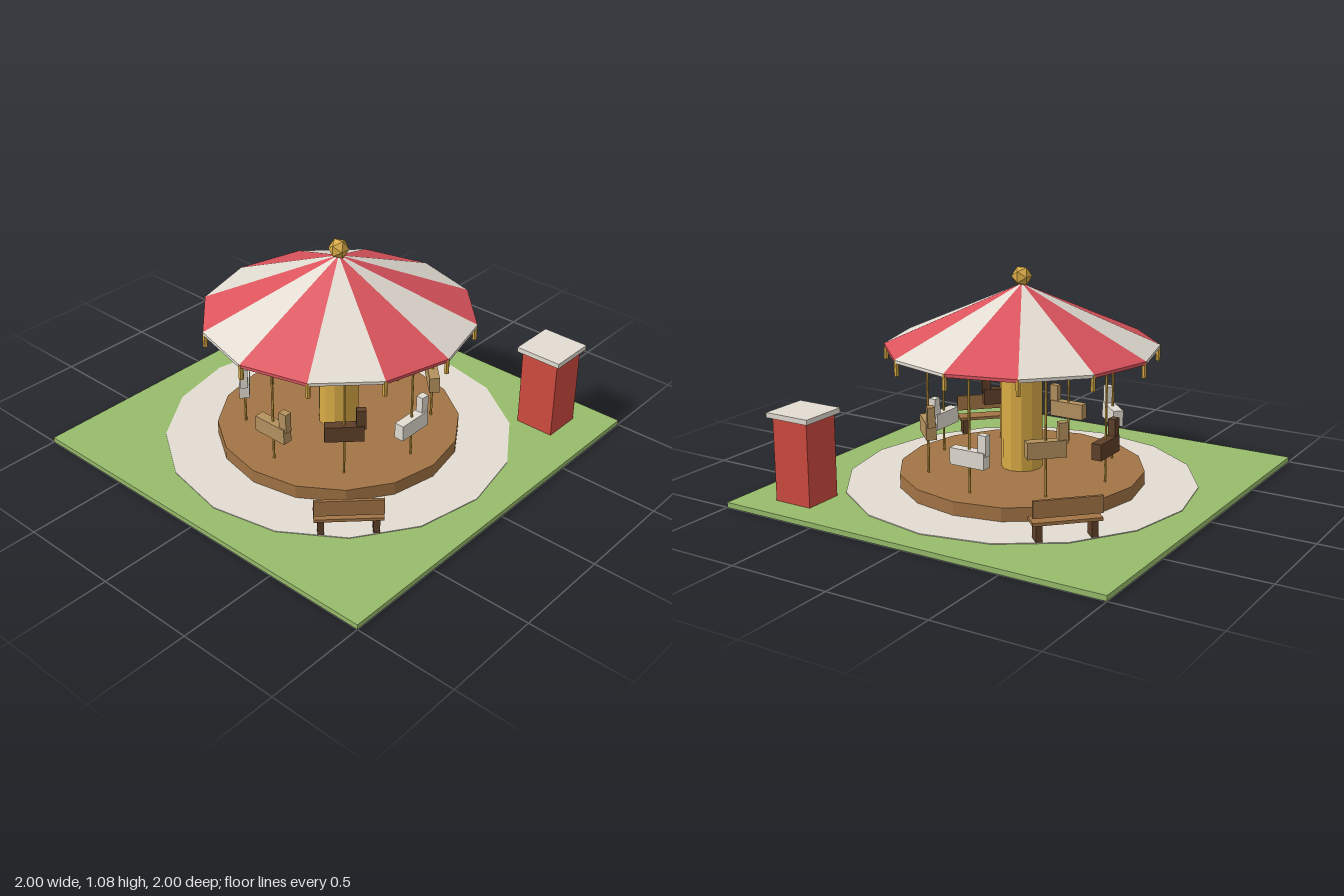
import * as THREE from 'three';

const paint = (name, color, side = THREE.FrontSide) => {
  const m = new THREE.MeshStandardMaterial({ color, side, flatShading: true });
  m.name = name;
  return m;
};

export function createModel() {
  const model = new THREE.Group();
  model.name = 'carousel';

  const grass = paint('grass green', 0x98bc6b);
  const cream = paint('cream', 0xe2dcd2, THREE.DoubleSide);
  const red = paint('canopy red', 0xdc545d, THREE.DoubleSide);
  const wood = paint('wood brown', 0xa27445);
  const darkWood = paint('dark wood', 0x5f4029);
  const tan = paint('tan', 0xb5925f);
  const gold = paint('gold', 0xdaac46);
  const boothRed = paint('booth red', 0xd04b3f);

  const add = (parent, name, geometry, material, x = 0, y = 0, z = 0) => {
    const mesh = new THREE.Mesh(geometry, material);
    mesh.name = name;
    mesh.position.set(x, y, z);
    parent.add(mesh);
    return mesh;
  };
  const box = (parent, name, [w, h, d], material, x, y, z) =>
    add(parent, name, new THREE.BoxGeometry(w, h, d), material, x, y, z);
  // upright cylinder standing between heights y0 and y1
  const post = (parent, name, r, y0, y1, sides, material, x = 0, z = 0) =>
    add(parent, name, new THREE.CylinderGeometry(r, r, y1 - y0, sides), material, x, (y0 + y1) / 2, z);

  // ground, paved ring, turning platform and central column
  box(model, 'lawn', [2, 0.025, 2], grass, 0, 0.0125, 0);
  post(model, 'path', 0.86, 0.015, 0.029, 16, cream);
  post(model, 'platform', 0.6, 0.025, 0.095, 16, wood);
  post(model, 'column', 0.1, 0.09, 0.82, 12, gold);

  // striped canopy: twelve open wedges, each with a short valance and a gold drop
  const canopy = new THREE.Group();
  canopy.name = 'canopy';
  model.add(canopy);
  const step = Math.PI / 6, rim = 0.66;
  for (let i = 0; i < 12; i++) {
    const a = i * step, material = i % 2 ? red : cream;
    add(canopy, 'canopyPanel', new THREE.ConeGeometry(rim, 0.295, 1, 1, true, a, step), material, 0, 0.8525, 0);
    add(canopy, 'valance', new THREE.CylinderGeometry(rim, rim, 0.015, 1, 1, true, a, step), material, 0, 0.6975, 0);
    post(canopy, 'rimDrop', 0.012, 0.628, 0.702, 6, gold, 0.65 * Math.sin(a), 0.65 * Math.cos(a));
  }
  const finial = add(model, 'finial', new THREE.IcosahedronGeometry(0.05), gold, 0, 1.034, 0);
  finial.rotation.y = Math.PI / 2;

  // eight block mounts on poles, alternately low and high
  const coats = [cream, tan, cream, tan, darkWood, cream, tan, darkWood];
  coats.forEach((coat, i) => {
    const mount = new THREE.Group();
    mount.name = 'mount';
    mount.rotation.y = i * Math.PI / 4;
    const y = i % 2 ? 0.325 : 0.265;
    post(mount, 'pole', 0.006, 0.09, 0.75, 6, gold, 0, 0.46);
    box(mount, 'mountBody', [0.185, 0.08, 0.05], coat, 0, y, 0.46);
    box(mount, 'mountHead', [0.045, 0.1, 0.036], coat, 0.078, y + 0.072, 0.46);
    model.add(mount);
  });

  // two benches facing the centre
  for (const side of [-1, 1]) {
    const bench = new THREE.Group();
    bench.name = 'bench';
    bench.position.set(side * 0.566, 0, -side * 0.566);
    bench.rotation.y = side > 0 ? Math.PI * 0.75 : -Math.PI / 4;
    box(bench, 'benchSeat', [0.315, 0.015, 0.09], wood, 0, 0.116, 0);
    box(bench, 'benchBack', [0.315, 0.08, 0.015], wood, 0, 0.185, 0.04);
    for (const x of [-0.125, 0.125])
      box(bench, 'benchLeg', [0.03, 0.085, 0.065], darkWood, x, 0.067, 0);
    model.add(bench);
  }

  // ticket booth
  box(model, 'booth', [0.2, 0.41, 0.2], boothRed, 0.76, 0.23, 0.72);
  box(model, 'boothRoof', [0.24, 0.025, 0.24], cream, 0.76, 0.444, 0.72);

  return model;
}
